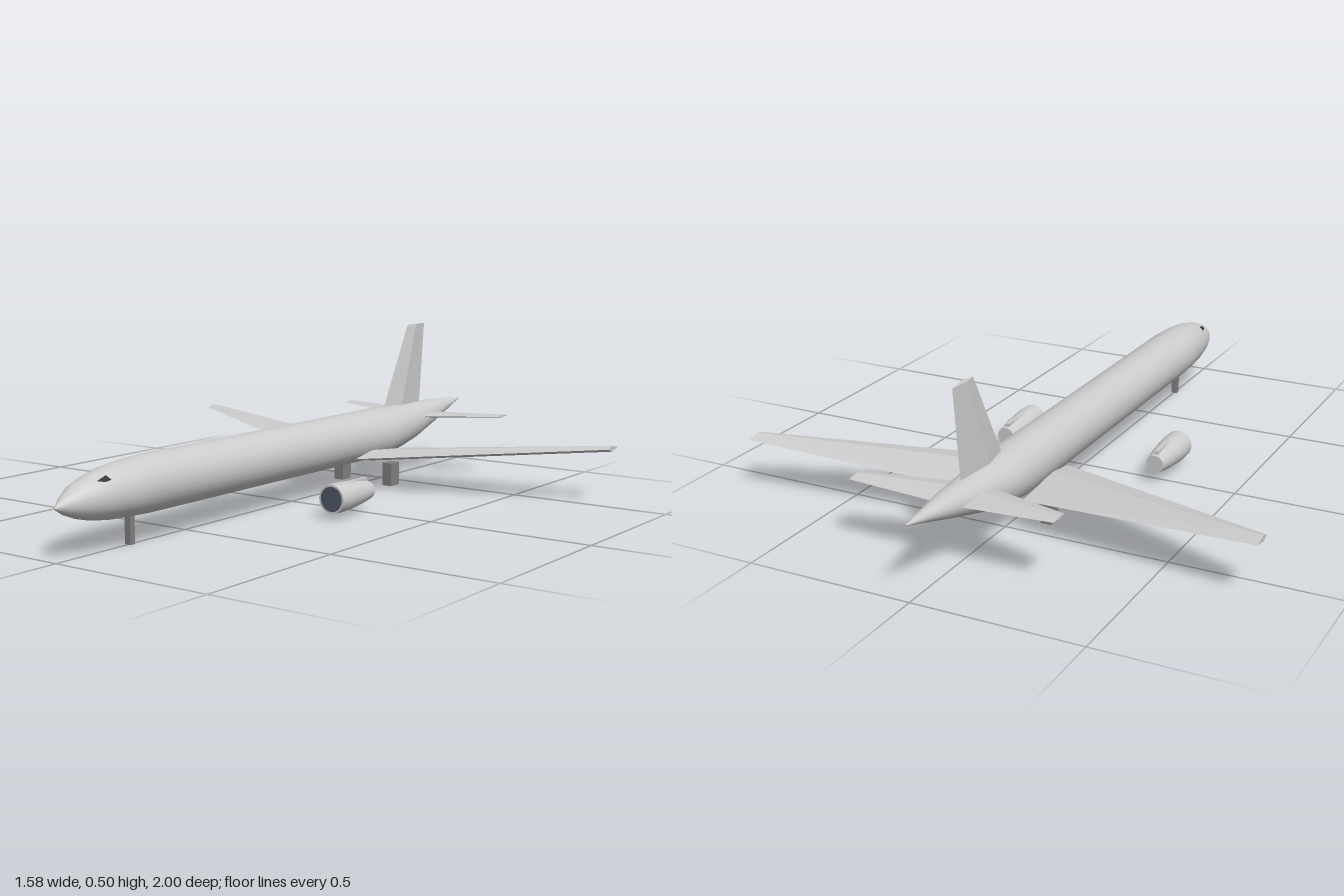
import * as THREE from 'three';

const paint = new THREE.MeshStandardMaterial({ color: 0xcccccc });
paint.name = 'light grey paint';
const gearGrey = new THREE.MeshStandardMaterial({ color: 0x808080 });
gearGrey.name = 'gear grey';
const intakeBlue = new THREE.MeshStandardMaterial({ color: 0x4e586a });
intakeBlue.name = 'intake blue grey';
const glass = new THREE.MeshStandardMaterial({ color: 0x2a2c30 });
glass.name = 'dark glass';

const V = (x, y, z) => new THREE.Vector3(x, y, z);

// Skins closed rings (counter-clockwise seen from the first ring) and caps both ends
function loft(rings, { flat = false, flip = false } = {}) {
  const n = rings[0].length, index = [];
  const tri = (a, b, c) => (flip ? index.push(a, c, b) : index.push(a, b, c));
  for (let k = 0; k < rings.length - 1; k++) {
    for (let i = 0; i < n; i++) {
      const a = k * n + i, b = k * n + ((i + 1) % n);
      tri(a, a + n, b);
      tri(b, a + n, b + n);
    }
  }
  const last = (rings.length - 1) * n;
  for (let i = 1; i < n - 1; i++) {
    tri(0, i, i + 1);
    tri(last, last + i + 1, last + i);
  }
  let geo = new THREE.BufferGeometry().setFromPoints(rings.flat());
  geo.setIndex(index);
  if (flat) geo = geo.toNonIndexed();
  geo.computeVertexNormals();
  return geo;
}

// Fuselage stations: z, centre height, half width, half height
const stations = [
  [1.0, 0.142, 0.003, 0.003], [0.97, 0.145, 0.024, 0.025], [0.93, 0.149, 0.045, 0.045],
  [0.88, 0.151, 0.06, 0.06], [0.82, 0.154, 0.07, 0.071], [0.75, 0.156, 0.077, 0.077],
  [0.67, 0.157, 0.081, 0.081], [-0.46, 0.157, 0.081, 0.081], [-0.55, 0.163, 0.078, 0.074],
  [-0.65, 0.172, 0.066, 0.063], [-0.8, 0.192, 0.043, 0.039], [-0.92, 0.207, 0.019, 0.017],
  [-1.0, 0.216, 0.002, 0.002],
];

// Point on the fuselage skin at a given z and angle, raised by lift
function skin(z, angle, lift) {
  const k = Math.max(1, stations.findIndex((s) => s[0] <= z));
  const a = stations[k - 1], b = stations[k], t = (a[0] - z) / (a[0] - b[0]);
  const [, y, rx, ry] = a.map((v, i) => v + (b[i] - v) * t);
  return V(Math.cos(angle) * (rx + lift), y + Math.sin(angle) * (ry + lift), z);
}

// Wing panel with a diamond section; each station is x, y, leading z, trailing z, thickness
function panel(side, sections) {
  const rings = sections.map(([x, y, lead, trail, thick]) => {
    const ridge = lead + (trail - lead) * 0.34;
    return [V(side * x, y, lead), V(side * x, y + thick / 2, ridge),
      V(side * x, y, trail), V(side * x, y - thick / 2, ridge)];
  });
  return loft(rings, { flat: true, flip: side < 0 });
}

export function createModel() {
  const model = new THREE.Group();
  model.name = 'airliner';
  const add = (name, geometry, material, parent = model) => {
    const mesh = new THREE.Mesh(geometry, material);
    mesh.name = name;
    parent.add(mesh);
    return mesh;
  };

  // Fuselage
  const segments = 28;
  add('fuselage', loft(stations.map(([z, y, rx, ry]) =>
    Array.from({ length: segments }, (_, i) => {
      const a = (i / segments) * Math.PI * 2;
      return V(Math.cos(a) * rx, y + Math.sin(a) * ry, z);
    }))), paint);

  // Tail fin, lofted upwards: y, leading z, trailing z, half thickness
  add('tailFin', loft([[0.2, -0.495, -0.73, 0.016], [0.5, -0.655, -0.76, 0.008]].map(([y, lead, trail, h]) => {
    const ridge = lead + (trail - lead) * 0.4;
    return [V(h, y, ridge), V(0, y, lead), V(-h, y, ridge), V(0, y, trail)];
  }), { flat: true }), paint);

  for (const side of [1, -1]) {
    const label = side > 0 ? 'left' : 'right';

    // Wings and tailplanes
    add(label + 'Wing', panel(side, [[0.07, 0.104, -0.245, -0.525, 0.034], [0.79, 0.165, -0.55, -0.62, 0.018]]), paint);
    add(label + 'Tailplane', panel(side, [[0.01, 0.19, -0.645, -0.8, 0.018], [0.31, 0.203, -0.738, -0.8, 0.008]]), paint);

    // Engine: nacelle, lip, intake disc, exhaust disc and pylon stub
    const engine = new THREE.Group();
    engine.name = label + 'Engine';
    engine.position.set(side * 0.255, 0.06, 0);
    model.add(engine);
    const profile = [[0.028, -0.035], [0.037, 0.025], [0.042, 0.075], [0.044, 0.11], [0.043, 0.15]];
    add('nacelle', new THREE.LatheGeometry(profile.map(([r, z]) => new THREE.Vector2(r, z)), 24).rotateX(Math.PI / 2), paint, engine);
    add('intakeLip', new THREE.RingGeometry(0.037, 0.043, 24), paint, engine).position.z = 0.15;
    add('intake', new THREE.CircleGeometry(0.037, 24), intakeBlue, engine).position.z = 0.15;
    add('exhaust', new THREE.CircleGeometry(0.028, 24).rotateY(Math.PI), paint, engine).position.z = -0.035;
    add('pylon', new THREE.BoxGeometry(0.012, 0.014, 0.09), paint, engine).position.set(0, 0.033, 0.02);

    // Main landing gear
    add(label + 'MainGear', new THREE.BoxGeometry(0.034, 0.074, 0.046), gearGrey).position.set(side * 0.095, 0.037, -0.412);

    // Cockpit window, a thin plate following the skin
    const at = (z, degrees) => {
      const p = skin(z, THREE.MathUtils.degToRad(degrees), 0.003);
      p.x *= side;
      return p;
    };
    const pane = new THREE.BufferGeometry().setFromPoints([at(0.885, 53), at(0.85, 58), at(0.845, 42), at(0.865, 42)]);
    pane.setIndex(side > 0 ? [0, 2, 1, 0, 3, 2] : [0, 1, 2, 0, 2, 3]);
    pane.computeVertexNormals();
    add(label + 'CockpitWindow', pane, glass);
  }

  // Nose landing gear
  add('noseGear', new THREE.BoxGeometry(0.02, 0.09, 0.018), gearGrey).position.set(0, 0.045, 0.725);

  return model;
}
